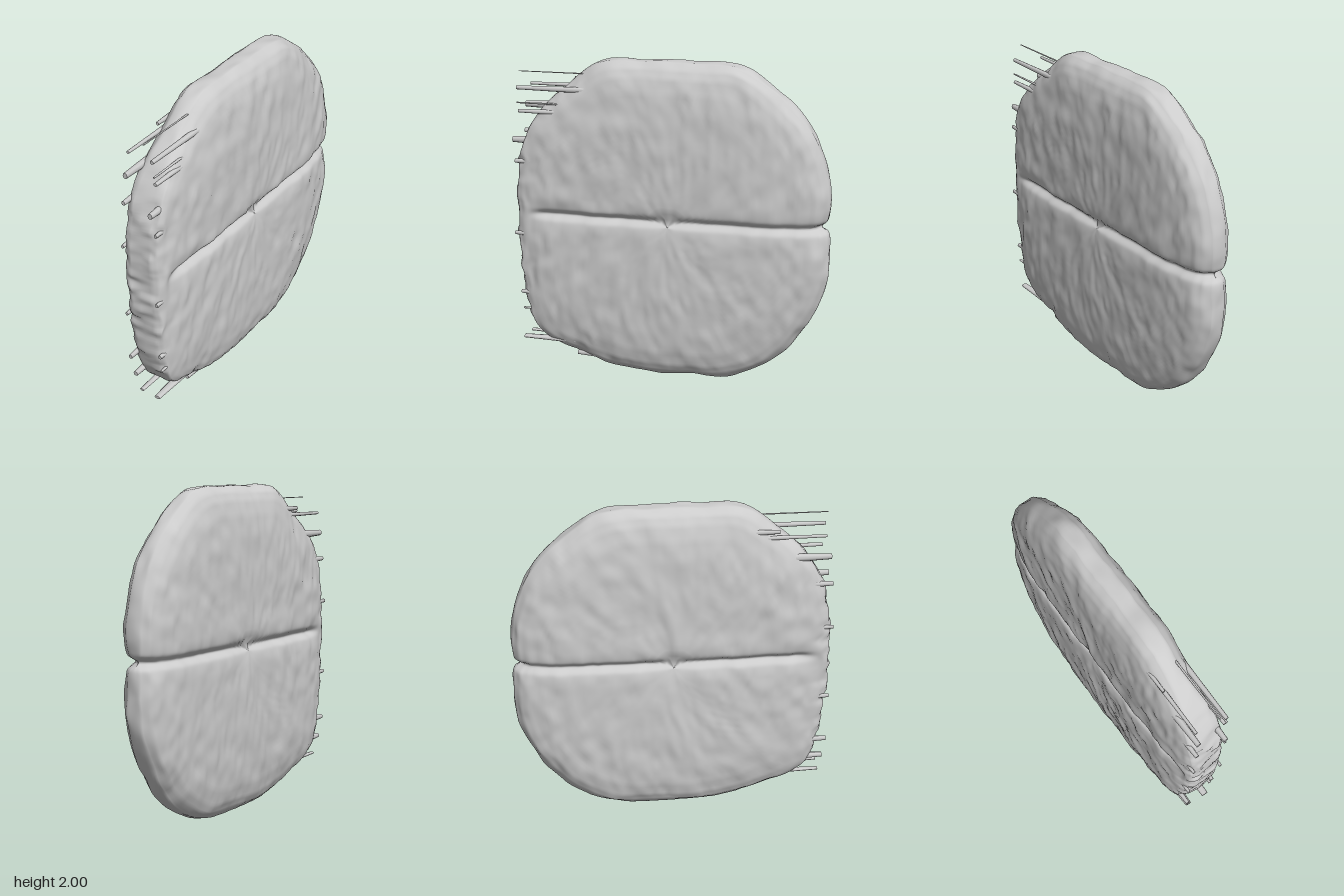
import * as THREE from 'three';

const mat = new THREE.MeshStandardMaterial({ color: 0xcccccc, side: THREE.DoubleSide });

// Seeded lattice noise, smoothly interpolated, in the range -1..1
const hash = (i, j, k) => {
  const s = Math.sin(i * 127.1 + j * 311.7 + k * 74.7) * 43758.5453;
  return (s - Math.floor(s)) * 2 - 1;
};
const fade = (t) => t * t * (3 - 2 * t);
function noise(a, b, seed) {
  const i = Math.floor(a), j = Math.floor(b), u = fade(a - i), v = fade(b - j);
  const lerp = THREE.MathUtils.lerp;
  return lerp(lerp(hash(i, j, seed), hash(i + 1, j, seed), u),
    lerp(hash(i, j + 1, seed), hash(i + 1, j + 1, seed), u), v);
}

// Side outline (z, y), from the front edge over the top to the back and under
const outline = new THREE.CatmullRomCurve3([
  [0.955, 1.03], [0.95, 1.25], [0.91, 1.47], [0.8, 1.67], [0.62, 1.84], [0.42, 1.975], [0.2, 1.993],
  [-0.2, 1.993], [-0.42, 1.975], [-0.62, 1.85], [-0.8, 1.67], [-0.92, 1.46], [-0.96, 1.25],
  [-0.955, 1.03], [-0.96, 0.7], [-0.88, 0.47], [-0.75, 0.27], [-0.58, 0.12], [-0.36, 0.025], [-0.15, 0.012],
  [0.2, 0.012], [0.4, 0.045], [0.62, 0.115], [0.82, 0.23], [0.91, 0.42], [0.93, 0.62], [0.955, 0.82],
].map(([z, y]) => new THREE.Vector3(0, y, z)), true, 'centripetal');
outline.arcLengthDivisions = 600;

// Half thickness against the fraction of the radius: round edge, blunt front edge
const roundEdge = [[0, 0.156], [0.5, 0.157], [0.7, 0.15], [0.82, 0.137], [0.91, 0.115], [0.96, 0.088], [0.99, 0.05], [1, 0]];
const bluntEdge = [[0, 0.156], [0.5, 0.157], [0.75, 0.15], [0.87, 0.138], [0.95, 0.122], [0.985, 0.105], [0.998, 0.07], [1, 0]];
function sample(profile, s) {
  let i = 1;
  while (i < profile.length - 1 && s > profile[i][0]) i++;
  const [s0, x0] = profile[i - 1], [s1, x1] = profile[i];
  const t = (s - s0) / (s1 - s0);
  return i === profile.length - 1
    ? x0 * Math.sqrt(Math.max(0, 1 - t * t)) : x0 + (x1 - x0) * t;
}

function tabletGeometry() {
  const around = 320, rows = 84, pos = [], index = [];
  const smooth = THREE.MathUtils.smoothstep;
  for (let j = 0; j <= rows; j++) {
    const q = j / rows * 2 - 1, side = q < 0 ? 1 : -1;
    const s = 1 - Math.pow(1 - Math.abs(Math.abs(q) - 1), 1.9);
    const r = j === rows / 2 ? 1 : s;
    for (let i = 0; i < around; i++) {
      // columns gather where the groove meets the rim
      const t = i / around, u = t - 0.6 * Math.sin(4 * Math.PI * t) / (4 * Math.PI);
      const p = outline.getPointAt(((u % 1) + 1) % 1);
      let y = 1.005 + (p.y - 1.005) * r, z = p.z * r;
      const front = smooth(p.z, 0.6, 0.9);
      let x = THREE.MathUtils.lerp(sample(roundEdge, r), sample(bluntEdge, r), front);
      // score line across both faces, nicking the back rim
      const groove = Math.exp(-(((y - 1.035) / 0.024) ** 2));
      const shoulder = Math.exp(-(((y - 1.035) / 0.06) ** 2));
      const along = 1 - smooth(z, 0.72, 0.9);
      x -= Math.min(x, (0.033 * groove + 0.012 * shoulder) * along);
      z += 0.035 * groove * smooth(-z, 0.8, 0.95);
      // lumpy surface with streaks running upwards
      const lump = 0.007 * noise(z * 13 + y * 4, y * 7, side + 5) + 0.005 * noise(z * 27, y * 13, side + 9);
      x += lump * Math.min(1, x / 0.08);
      const edge = smooth(r, 0.8, 1);
      const rough = 0.008 * edge * noise(u * 60, x * side * 18, 3) * Math.min(1, 6 * u, 6 * (1 - u) + 0.01);
      y += (p.y - 1) * rough;
      z += p.z * rough + 0.012 * front * edge * noise(y * 22, x * side * 16, 21);
      pos.push(side * x, Math.min(2, Math.max(0, y)), z);
    }
  }
  for (let j = 0; j < rows; j++) for (let i = 0; i < around; i++) {
    const a = j * around + i, b = j * around + (i + 1) % around;
    index.push(a, b, a + around, b, b + around, a + around);
  }
  const g = new THREE.BufferGeometry();
  g.setAttribute('position', new THREE.Float32BufferAttribute(pos, 3));
  g.setIndex(index);
  g.computeVertexNormals();
  return g;
}

// Flat tapering splinter lying along z, wide end buried in the tablet
function splinter(x, y, zStart, zEnd, height, width) {
  const g = new THREE.CylinderGeometry(0.3, 0.5, 1, 8, 4);
  g.rotateX(Math.PI / 2);
  g.scale(width, height, zEnd - zStart);
  const m = new THREE.Mesh(g, mat);
  m.position.set(x, y, (zStart + zEnd) / 2);
  m.name = 'splinter';
  return m;
}

export function createModel() {
  const group = new THREE.Group();
  group.name = 'scoredTablet';
  const body = new THREE.Mesh(tabletGeometry(), mat);
  body.name = 'tabletBody';
  group.add(body);

  // ragged splinters on the front edge: x, y, start z, end z, height, width
  const splinters = new THREE.Group();
  splinters.name = 'frontSplinters';
  [
    [0.04, 1.9, 0.4, 0.93, 0.008, 0.015],
    [0.09, 1.81, 0.42, 0.93, 0.04, 0.04],
    [-0.09, 1.8, 0.45, 0.9, 0.03, 0.03],
    [-0.1, 1.84, 0.42, 0.62, 0.04, 0.03],
    [0.1, 1.72, 0.55, 0.93, 0.014, 0.02],
    [-0.09, 1.67, 0.65, 0.935, 0.06, 0.05],
    [0.1, 1.67, 0.6, 0.92, 0.035, 0.04],
    [0.09, 1.49, 0.75, 0.965, 0.06, 0.05],
    [-0.1, 1.5, 0.78, 0.95, 0.045, 0.04],
    [0.11, 1.36, 0.8, 0.95, 0.04, 0.03],
    [-0.11, 1.22, 0.82, 0.965, 0.04, 0.03],
    [0.11, 0.9, 0.82, 0.965, 0.04, 0.03],
    [-0.11, 0.75, 0.82, 0.96, 0.04, 0.03],
    [0.1, 0.51, 0.8, 0.94, 0.04, 0.04],
    [-0.1, 0.44, 0.75, 0.96, 0.05, 0.04],
    [0.1, 0.4, 0.65, 0.93, 0.02, 0.03],
    [-0.08, 0.31, 0.75, 0.945, 0.05, 0.05],
    [0.07, 0.195, 0.6, 0.94, 0.035, 0.07],
    [-0.05, 0.19, 0.65, 0.93, 0.025, 0.05],
    [0.04, 0.1, 0.45, 0.6, 0.05, 0.05],
  ].forEach((s) => splinters.add(splinter(...s)));
  group.add(splinters);
  return group;
}
